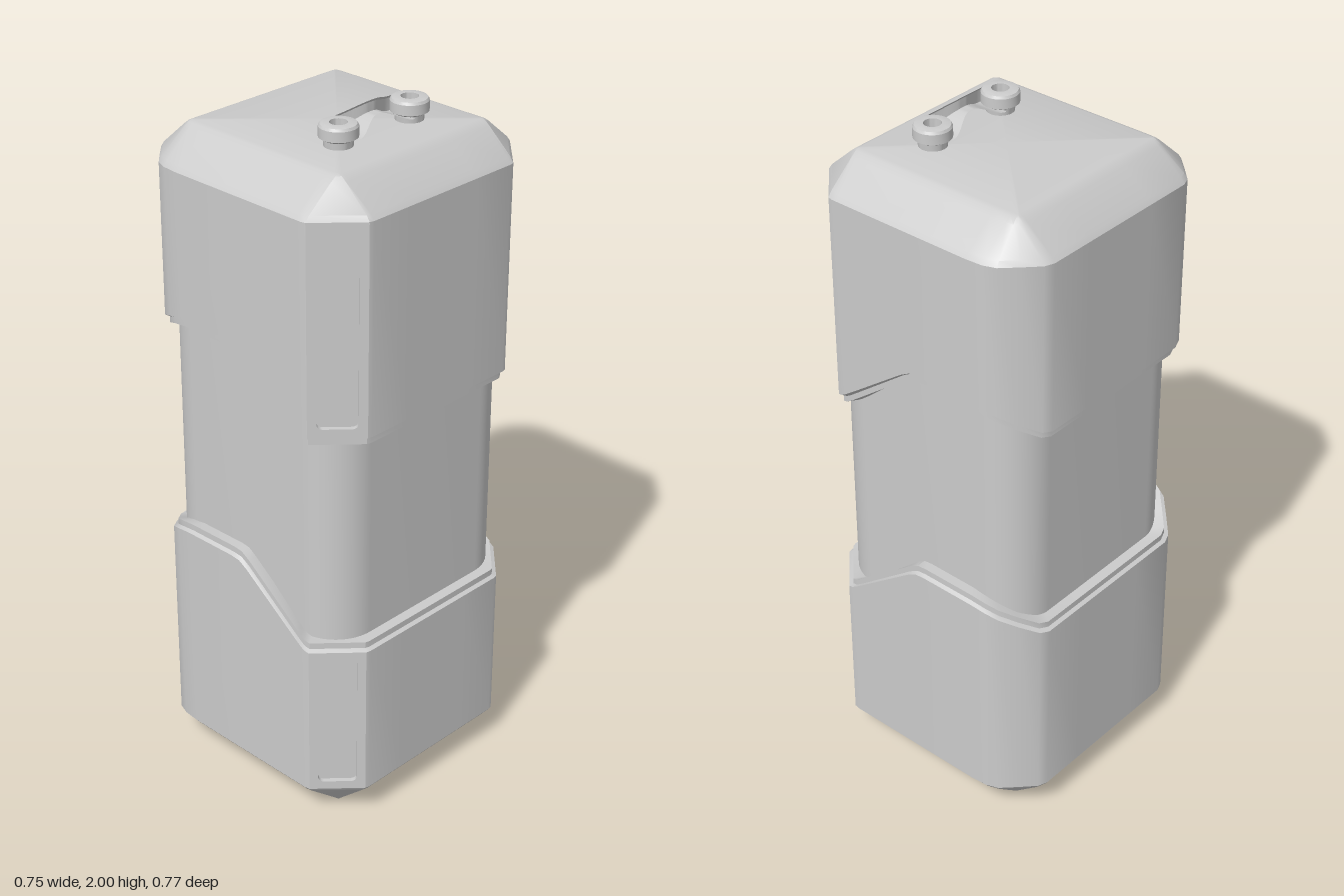
import * as THREE from 'three';
import { toCreasedNormals } from 'three/addons/utils/BufferGeometryUtils.js';

const material = new THREE.MeshStandardMaterial({ color: 0xcccccc });

function addMesh(parent, name, geometry) {
  const mesh = new THREE.Mesh(geometry, material);
  mesh.name = name;
  parent.add(mesh);
  return mesh;
}

// Skin closed rings, listed top to bottom and running from +x toward +z.
function loft(rings, skip = () => false) {
  const n = rings[0].length, index = [];
  for (let i = 0; i < rings.length - 1; i++) {
    for (let j = 0; j < n; j++) {
      if (skip(i, j)) continue;
      const a = i * n + j, b = i * n + (j + 1) % n;
      index.push(a, b, a + n, b, b + n, a + n);
    }
  }
  const g = new THREE.BufferGeometry();
  g.setAttribute('position', new THREE.Float32BufferAttribute(rings.flat(2), 3));
  g.setIndex(index);
  return toCreasedNormals(g, 0.45);
}

// Plan outline of the caps: sharp chamfers at +x, softer ones at -x.
const CHAMFER = 2;
const half = [
  [0.376, 0.12], [0.376, 0.255], [0.373, 0.268], [0.265, 0.381], [0.25, 0.384], [0.235, 0.384],
  [0.21, 0.384], [0.03, 0.384], [0, 0.384], [-0.03, 0.384], [-0.2, 0.384], [-0.25, 0.38], [-0.285, 0.367],
  [-0.325, 0.328], [-0.366, 0.286], [-0.376, 0.258], [-0.376, 0.12],
];
const outline = [...half, ...half.map(([x, z]) => [x, -z]).reverse()];
const panelSegments = [CHAMFER, outline.length - 2 - CHAMFER];

// Height of the upper cap's wavy rim; the lower cap repeats it further down.
const rimKnots = [
  [-0.376, 1.31], [-0.34, 1.33], [-0.27, 1.378], [-0.2, 1.388], [-0.03, 1.39], [0, 1.387], [0.03, 1.37],
  [0.21, 1.237], [0.235, 1.219], [0.25, 1.21], [0.265, 1.205], [0.376, 1.205],
];
const RIM_GAP = 0.63;
function rim(x) {
  const k = Math.max(1, rimKnots.findIndex(p => p[0] >= x));
  const [a, b] = [rimKnots[k - 1], rimKnots[k]];
  return a[1] + (b[1] - a[1]) * (x - a[0]) / (b[0] - a[0]);
}

const FLAT = 0.265;
const clampFlat = v => THREE.MathUtils.clamp(v, -FLAT, FLAT);
// Ring between the outline (t = 0) and the square end face (t = 1).
const bevelRing = (y, t) => outline.map(([x, z]) =>
  [x + (clampFlat(x) - x) * t, y, z + (clampFlat(z) - z) * t]);
// Ring following the wavy rim, scaled toward the axis.
const rimRing = (offset, s) => outline.map(([x, z]) => [x * s, rim(x) + offset, z * s]);

function roundedRect(w, h, r, T = THREE.Shape) {
  const s = new T(), x = w / 2, y = h / 2;
  s.moveTo(-x + r, -y);
  s.lineTo(x - r, -y);
  s.absarc(x - r, -y + r, r, -Math.PI / 2, 0);
  s.lineTo(x, y - r);
  s.absarc(x - r, y - r, r, 0, Math.PI / 2);
  s.lineTo(-x + r, y);
  s.absarc(-x + r, y - r, r, Math.PI / 2, Math.PI);
  s.lineTo(-x, -y + r);
  s.absarc(-x + r, -y + r, r, Math.PI, Math.PI * 1.5);
  return s;
}

// Chamfer faces at +x, each with a recessed round-cornered panel.
function addPanels(parent, yLow, yHigh, holeLow, holeHigh) {
  const [p, q] = [outline[CHAMFER], outline[CHAMFER + 1]];
  const width = Math.hypot(p[0] - q[0], p[1] - q[1]), depth = 0.014;
  const yMid = (yLow + yHigh) / 2;
  for (const side of [1, -1]) {
    const panel = new THREE.Group();
    panel.name = side > 0 ? 'frontCornerPanel' : 'backCornerPanel';
    panel.position.set((p[0] + q[0]) / 2, yMid, side * (p[1] + q[1]) / 2);
    panel.rotation.y = Math.atan2(q[1] - p[1], side * (p[0] - q[0]));
    const frame = roundedRect(width, yHigh - yLow, 0.0005);
    const hole = roundedRect(0.108, holeHigh - holeLow, 0.016, THREE.Path);
    const shift = (holeHigh + holeLow) / 2 - yMid;
    frame.holes.push(new THREE.Path(hole.getPoints(6).map(v => v.add(new THREE.Vector2(0, shift)))));
    const g = new THREE.ExtrudeGeometry(frame, { depth, bevelEnabled: false, curveSegments: 6 });
    addMesh(panel, 'panelFrame', g.translate(0, 0, -depth));
    addMesh(panel, 'panelFloor', new THREE.PlaneGeometry(width, yHigh - yLow)).position.z = -depth;
    parent.add(panel);
  }
}

function upperCap() {
  const cap = new THREE.Group();
  cap.name = 'upperCap';
  const rings = [
    outline.map(() => [0, 1.915, 0]),
    bevelRing(1.915, 1), bevelRing(1.911, 0.9), bevelRing(1.9, 0.77),
    bevelRing(1.835, 0.1), bevelRing(1.82, 0),
    rimRing(0.016, 1), rimRing(0.01, 0.972), rimRing(-0.008, 0.972), rimRing(-0.008, 0.85),
  ];
  addMesh(cap, 'upperShell', loft(rings, (i, j) => i === 5 && panelSegments.includes(j)));
  addPanels(cap, 1.221, 1.82, 1.248, 1.795);
  return cap;
}

function lowerCap() {
  const cap = new THREE.Group();
  cap.name = 'lowerCap';
  const rings = [
    rimRing(0.008 - RIM_GAP, 0.85), rimRing(0.008 - RIM_GAP, 0.972),
    rimRing(-0.01 - RIM_GAP, 0.972), rimRing(-0.016 - RIM_GAP, 1),
    bevelRing(0.1, 0), bevelRing(0.09, 0.07), bevelRing(0.012, 0.88), bevelRing(0, 1),
  ];
  addMesh(cap, 'lowerShell', loft(rings, (i, j) => i === 3 && panelSegments.includes(j)));
  addPanels(cap, 0.1, 0.559, 0.125, 0.537);

  // Base plate with four screw holes
  const plate = roundedRect(FLAT * 2, FLAT * 2, 0.001);
  for (const x of [-0.16, 0.16]) for (const y of [-0.16, 0.16]) {
    plate.holes.push(new THREE.Path().absarc(x, y, 0.02, 0, Math.PI * 2));
  }
  const g = new THREE.ExtrudeGeometry(plate, { depth: 0.02, bevelEnabled: false });
  addMesh(cap, 'basePlate', g.rotateX(-Math.PI / 2));
  addMesh(cap, 'screwHoleFloor', new THREE.BoxGeometry(0.5, 0.01, 0.5)).position.y = 0.025;
  return cap;
}

// Dumbbell-shaped loop on the top: two hollow posts and an arched waist.
function carryLoop() {
  const loop = new THREE.Group();
  loop.name = 'carryLoop';
  loop.position.x = 0.133;
  const profile = [[0.038, 1.91], [0.04, 1.933], [0.052, 1.94], [0.052, 1.968], [0.048, 1.975],
    [0.041, 1.977], [0.024, 1.977], [0.024, 1.94], [0, 1.94]].map(p => new THREE.Vector2(...p));
  for (const z of [-0.131, 0.131]) {
    const post = toCreasedNormals(new THREE.LatheGeometry(profile, 32), 0.5);
    addMesh(loop, z > 0 ? 'frontPost' : 'backPost', post).position.z = z;
  }
  const sections = [], steps = 24, reach = 0.104;
  for (let i = 0; i <= steps; i++) {
    const z = reach * (1 - 2 * i / steps);
    const arch = (1 + Math.cos(Math.PI * z / reach)) / 2;
    const w = 0.013 + 0.032 * (1 - arch), top = 1.976 + 0.024 * arch, low = 1.933 + 0.034 * arch;
    const edge = top - 0.008;
    sections.push([[w, edge, z], [w - 0.006, top, z], [-w + 0.006, top, z], [-w, edge, z], [-w, low, z], [w, low, z]]);
  }
  addMesh(loop, 'archedStrap', loft(sections));
  return loop;
}

export function createModel() {
  const model = new THREE.Group();
  model.name = 'cappedCanister';
  // Rounded middle column, running up inside both caps
  const column = new THREE.ExtrudeGeometry(roundedRect(0.67, 0.69, 0.13),
    { depth: 1.3, bevelEnabled: false, curveSegments: 10 });
  column.rotateX(-Math.PI / 2).translate(0, 0.3, 0);
  addMesh(model, 'column', toCreasedNormals(column, 0.5));
  model.add(upperCap(), lowerCap(), carryLoop());
  return model;
}
